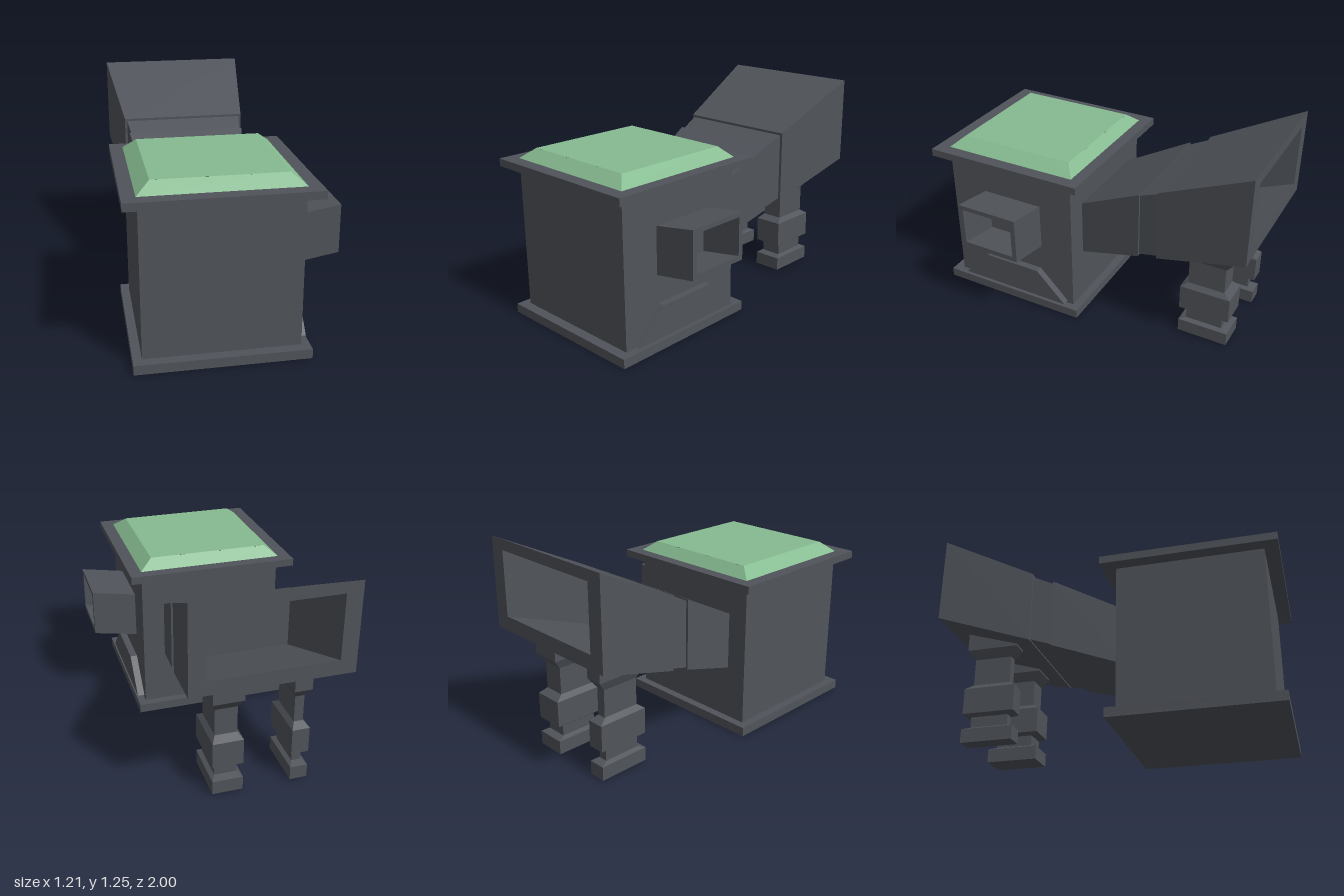
import * as THREE from 'three';

const metal = new THREE.MeshStandardMaterial({ color: 0x50545a });
metal.name = 'dark grey metal';
const green = new THREE.MeshStandardMaterial({ color: 0x86bb90 });
green.name = 'pale green panel';
const clipColor = new THREE.MeshStandardMaterial({ color: 0x4a3a46 });
clipColor.name = 'dark clip';

// Four-cornered rings, counterclockwise as seen from the end they travel towards
const ringY = (y, x0, x1, z0, z1) => [[x0, y, z1], [x1, y, z1], [x1, y, z0], [x0, y, z0]];
const ringBack = (z, x0, x1, y0, y1) => [[x1, y0, z], [x0, y0, z], [x0, y1, z], [x1, y1, z]];
const ringSide = (x, z0, z1, y0, y1) => [[x, y0, z1], [x, y0, z0], [x, y1, z0], [x, y1, z1]];

// Closed, flat-sided skin through a list of rings
function loft(name, rings, material = metal) {
  const pos = [];
  const quad = (a, b, c, d) => pos.push(...a, ...b, ...c, ...a, ...c, ...d);
  for (let i = 0; i < rings.length - 1; i++) {
    for (let j = 0; j < 4; j++) {
      const k = (j + 1) % 4;
      quad(rings[i][j], rings[i][k], rings[i + 1][k], rings[i + 1][j]);
    }
  }
  quad(...[...rings[0]].reverse());
  quad(...rings[rings.length - 1]);
  const geo = new THREE.BufferGeometry();
  geo.setAttribute('position', new THREE.Float32BufferAttribute(pos, 3));
  geo.computeVertexNormals();
  const mesh = new THREE.Mesh(geo, material);
  mesh.name = name;
  return mesh;
}

function box(name, x0, x1, y0, y1, z0, z1, material = metal) {
  const mesh = new THREE.Mesh(new THREE.BoxGeometry(x1 - x0, y1 - y0, z1 - z0), material);
  mesh.position.set((x0 + x1) / 2, (y0 + y1) / 2, (z0 + z1) / 2);
  mesh.name = name;
  return mesh;
}

// Turned-style square leg whose top follows the sloping underside of the duct
function leg(name, x0, x1) {
  const z0 = -0.88, z1 = -0.57;
  const profile = [[0.005, 0], [0.087, 0], [0.1, 1], [0.163, 1], [0.18, 0],
    [0.335, 0], [0.363, 1], [0.525, 1], [0.583, 0]];
  const rings = profile.map(([y, s]) =>
    ringY(y, x0 + s * 0.024, x1 - s * 0.024, z0 + s * 0.045, z1 - s * 0.04));
  const top = ringY(0, x0, x1, z0, z1);
  top.forEach((p) => { p[1] = 0.62 - (p[2] - z1) * 0.32; });
  return loft(name, [...rings, top]);
}

export function createModel() {
  const model = new THREE.Group();
  model.name = 'cabinetWithDuct';

  // Cabinet
  model.add(
    box('basePlate', -0.575, 0.385, 0, 0.055, 0.03, 0.98),
    box('cabinetBody', -0.525, 0.337, 0.055, 0.915, 0.08, 0.92),
    box('topRim', -0.605, 0.415, 0.915, 0.96, 0, 1),
    loft('lidPanel', [
      ringY(0.96, -0.53, 0.34, 0.07, 0.92),
      ringY(1.02, -0.455, 0.265, 0.127, 0.85),
    ], green),
  );

  // Small clips along the front and back lid edges
  for (const z of [0.129, 0.848]) {
    for (const x of [-0.41, -0.17, 0.07]) {
      model.add(box('lidClip', x - 0.014, x + 0.014, 1.013, 1.019, z - 0.004, z + 0.004, clipColor));
    }
  }

  // Hollow side chute, slanting up and outwards
  model.add(loft('sideChute', [
    ringSide(0.33, 0.295, 0.685, 0.427, 0.71),
    ringSide(0.603, 0.295, 0.685, 0.475, 0.757),
    ringSide(0.603, 0.325, 0.655, 0.505, 0.73),
    ringSide(0.342, 0.325, 0.655, 0.46, 0.683),
  ]));

  // Tapered plate low on the side wall
  const plate = new THREE.Shape([[-0.86, 0.07], [-0.12, 0.07], [-0.31, 0.26], [-0.68, 0.26]]
    .map(([x, y]) => new THREE.Vector2(x, y)));
  const plateMesh = new THREE.Mesh(
    new THREE.ExtrudeGeometry(plate, { depth: 0.045, bevelEnabled: false }), metal);
  plateMesh.rotation.y = Math.PI / 2;
  plateMesh.position.x = 0.335;
  plateMesh.name = 'sidePlate';
  model.add(plateMesh);

  // Rear duct: widening neck, narrow joint and hollow mouth
  model.add(
    loft('ductNeck', [
      ringBack(0.09, -0.397, 0.202, 0.375, 0.72),
      ringBack(-0.325, -0.457, 0.264, 0.515, 0.93),
    ]),
    loft('ductJoint', [
      ringBack(-0.32, -0.443, 0.25, 0.523, 0.918),
      ringBack(-0.455, -0.461, 0.27, 0.565, 0.978),
    ]),
    loft('ductMouth', [
      ringBack(-0.45, -0.475, 0.285, 0.555, 0.99),
      ringBack(-1, -0.55, 0.358, 0.73, 1.255),
      ringBack(-1, -0.457, 0.265, 0.815, 1.193),
      ringBack(-0.47, -0.39, 0.2, 0.64, 0.925),
    ]),
  );

  // Unequal legs under the duct mouth
  model.add(leg('wideLeg', 0.013, 0.19), leg('narrowLeg', -0.37, -0.268));
  return model;
}
